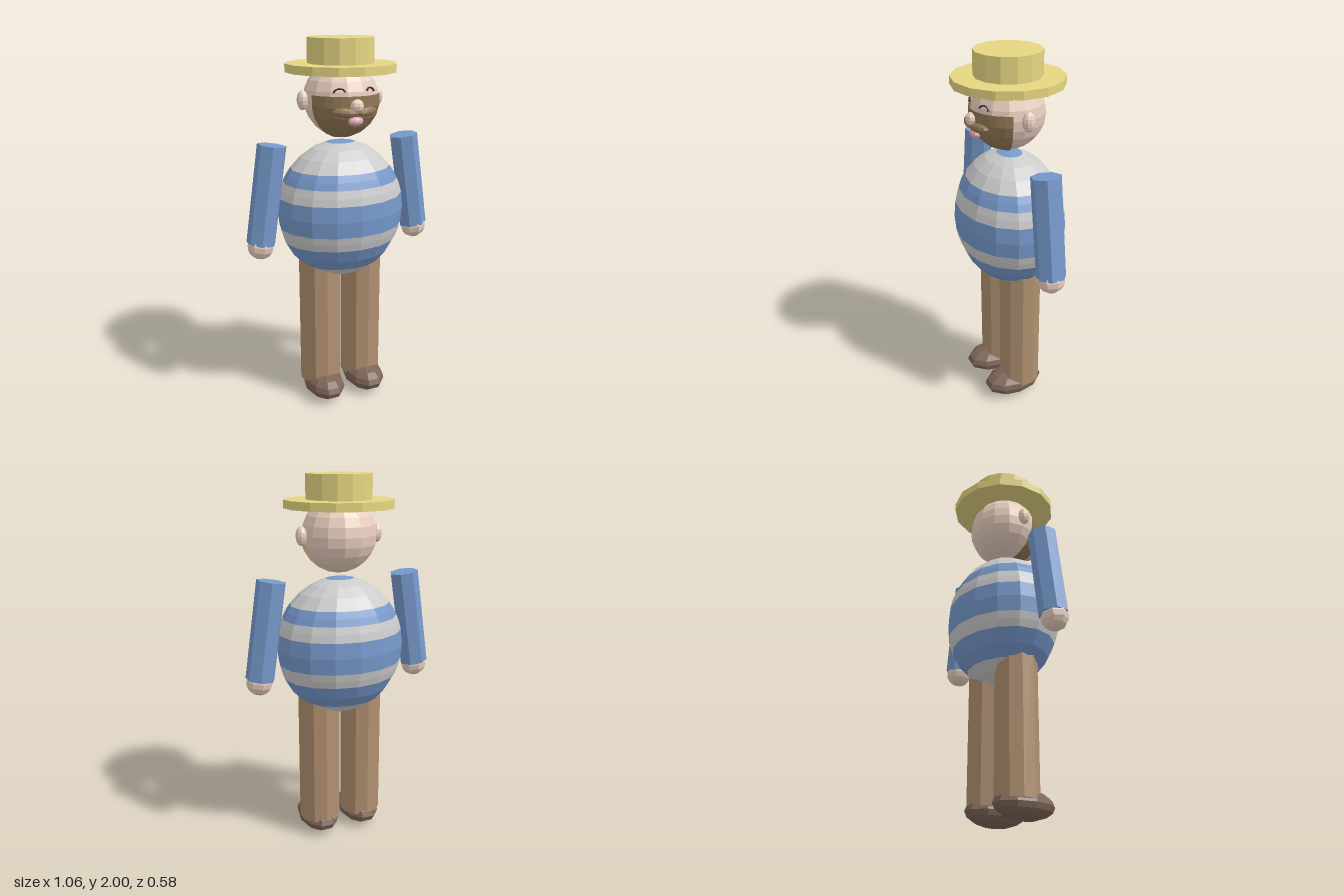
import * as THREE from 'three';

const PI = Math.PI;
const mat = (color, side = THREE.FrontSide) => new THREE.MeshStandardMaterial({ color, flatShading: true, side });
const skin = mat(0xead0c0), blue = mat(0x7799cc), grey = mat(0xcccccc), straw = mat(0xe6d682);
const trousers = mat(0xb09070), leather = mat(0x7c6456), hair = mat(0x927856, THREE.DoubleSide);
const pink = mat(0xe3a9b4), dark = mat(0x4a3432);

export function createModel() {
  const model = new THREE.Group();

  const add = (name, geometry, material, x, y, z) => {
    const mesh = new THREE.Mesh(geometry, material);
    mesh.name = name;
    mesh.position.set(x, y, z);
    model.add(mesh);
    return mesh;
  };
  const ball = (name, material, [x, y, z], [rx, ry, rz], w = 10, h = 8) =>
    add(name, new THREE.SphereGeometry(1, w, h).scale(rx, ry, rz), material, x, y, z);

  // Striped round body: one sphere band per run of equal rows
  const rows = 14, step = PI / rows;
  const stripes = [[0, 1, blue], [1, 4, grey], [4, 5, blue], [5, 6, grey], [6, 8, blue],
    [8, 9, grey], [9, 11, blue], [11, 14, grey]];
  stripes.forEach(([from, to, material], i) => {
    const band = new THREE.SphereGeometry(1, 16, to - from, 0, 2 * PI, from * step, (to - from) * step);
    add('bodyStripe' + (i + 1), band.scale(0.35, 0.376, 0.288), material, 0, 1.097, -0.003);
  });

  // Head, beard and face
  ball('head', skin, [0, 1.692, 0.005], [0.197, 0.197, 0.192], 14, 12);
  const beard = new THREE.SphereGeometry(0.203, 12, 6, PI * 0.11, PI * 0.78, PI * 0.45, PI * 0.55);
  add('beard', beard, hair, 0, 1.692, 0.005);
  ball('nose', skin, [0, 1.676, 0.205], [0.037, 0.035, 0.033], 8, 6);
  ball('mouth', pink, [0, 1.598, 0.19], [0.042, 0.024, 0.025]);

  // Flat-topped straw hat
  add('hatBrim', new THREE.CylinderGeometry(0.29, 0.29, 0.043, 14), straw, 0, 1.85, 0.004);
  add('hatCrown', new THREE.CylinderGeometry(0.175, 0.175, 0.16, 14), straw, 0, 1.92, 0.004);

  // Paired parts, left (+x) and right (-x)
  for (const s of [1, -1]) {
    const side = s > 0 ? 'left' : 'right';

    // Closed smiling eye
    const eye = add(side + 'Eye', new THREE.TorusGeometry(0.028, 0.006, 5, 6, PI).scale(1, 0.7, 1), dark,
      s * 0.085, 1.742, 0.178);
    eye.rotation.set(-0.25, s * 0.46, 0);

    // Moustache half
    const moustache = ball(side + 'Moustache', hair, [s * 0.06, 1.645, 0.195], [0.065, 0.024, 0.025], 10, 6);
    moustache.rotation.set(0, s * 0.35, s * 0.06);

    ball(side + 'Ear', skin, [s * 0.211, 1.692, 0], [0.03, 0.051, 0.034]);

    // Sleeve leaning outwards, with the hand at its end
    const arm = new THREE.CylinderGeometry(0.078, 0.078, 0.525, 7, 1, false, -s * PI / 2);
    add(side + 'Sleeve', arm, blue, s * 0.417, 1.213, -0.005).rotation.z = s * 0.148;
    ball(side + 'Hand', skin, [s * 0.457, 0.945, -0.003], [0.074, 0.075, 0.074], 8, 8).rotation.z = s * 0.148;

    // Trouser leg and shoe
    add(side + 'Leg', new THREE.CylinderGeometry(0.113, 0.113, 0.87, 10), trousers, s * 0.125, 0.525, -0.004);
    ball(side + 'Shoe', leather, [s * 0.125, 0.075, 0.037], [0.11, 0.075, 0.173], 10, 8);
  }
  return model;
}
